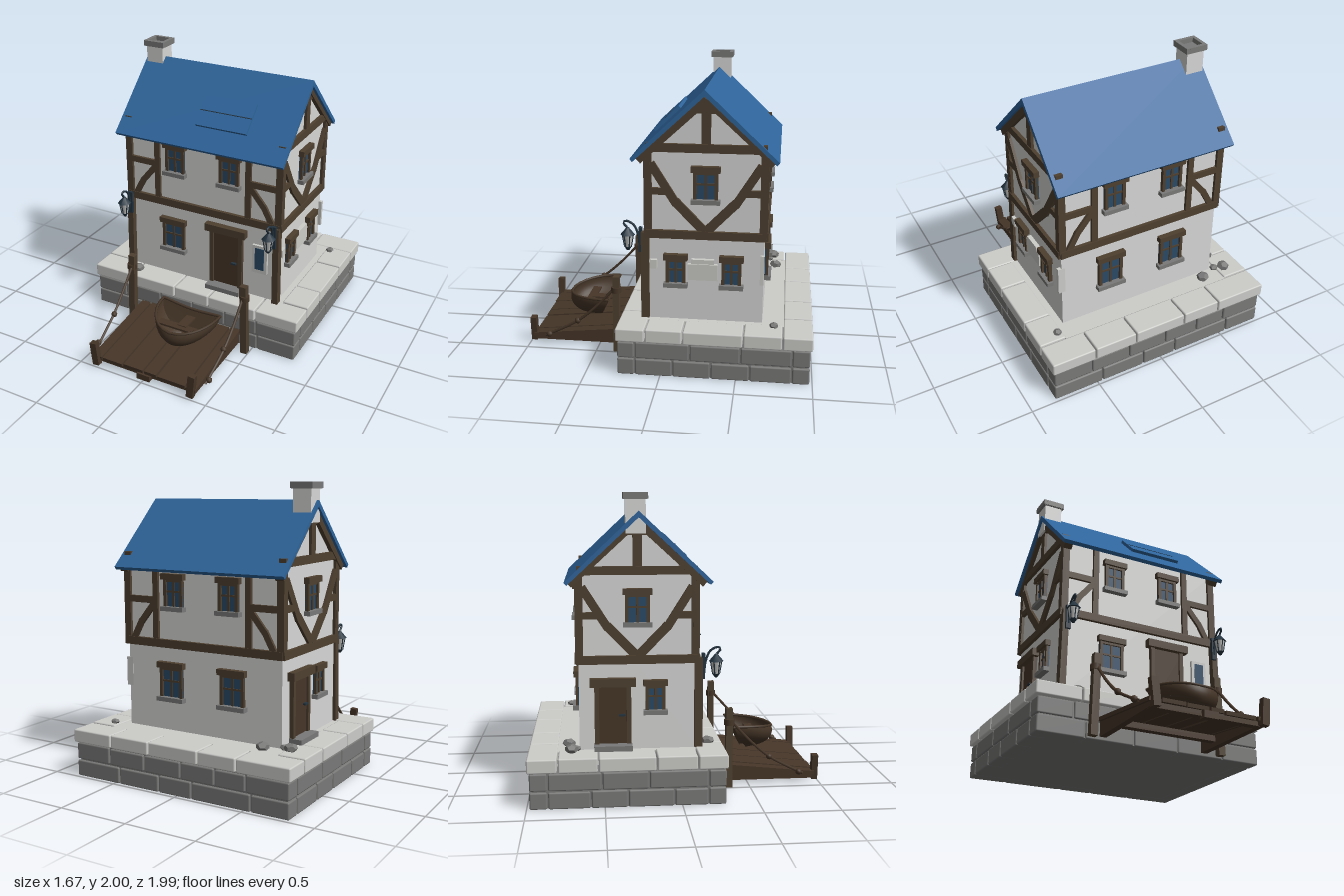
import * as THREE from 'three';
import { RoundedBoxGeometry } from 'three/addons/geometries/RoundedBoxGeometry.js';
import { ParametricGeometry } from 'three/addons/geometries/ParametricGeometry.js';

const mat = (name, color, side = THREE.FrontSide) => {
  const m = new THREE.MeshStandardMaterial({ color, side });
  m.name = name;
  return m;
};

export function createModel() {
  const model = new THREE.Group();
  model.name = 'house';
  const plaster = mat('plaster', 0xd8d8d7), slab = mat('paleStone', 0xcdcdca), stone = mat('greyStone', 0x7a7a79);
  const blue = mat('roofBlue', 0x2f659c), timber = mat('timber', 0x4e4030), plank = mat('darkWood', 0x463628, THREE.DoubleSide);
  const glass = mat('windowGlass', 0x2a4a66), iron = mat('iron', 0x243440);

  let seed = 7;
  const rand = () => (seed = (seed * 16807) % 2147483647) / 2147483647;

  const add = (parent, name, geo, material, x = 0, y = 0, z = 0) => {
    const m = new THREE.Mesh(geo, material);
    m.name = name;
    m.position.set(x, y, z);
    parent.add(m);
    return m;
  };
  const box = (parent, name, material, w, h, d, x, y, z) =>
    add(parent, name, new THREE.BoxGeometry(w, h, d), material, x, y, z);
  const group = (name, x = 0, y = 0, z = 0, ry = 0, parent = model) => {
    const g = new THREE.Group();
    g.name = name;
    g.position.set(x, y, z);
    g.rotation.y = ry;
    parent.add(g);
    return g;
  };
  // Straight timber between two points of a wall
  const beam = (wall, u1, y1, u2, y2, w, d = 0.04) => {
    const b = box(wall, 'timberBeam', timber, Math.hypot(u2 - u1, y2 - y1), w, d, (u1 + u2) / 2, (y1 + y2) / 2, 0);
    b.rotation.z = Math.atan2(y2 - y1, u2 - u1);
  };
  // Profile given as [z, y] pairs, extruded along x
  const extrudeX = (parent, name, pts, width, material, x = 0) => {
    const geo = new THREE.ExtrudeGeometry(new THREE.Shape(pts.map(p => new THREE.Vector2(...p))), { depth: width, bevelEnabled: false });
    geo.rotateY(-Math.PI / 2).translate(width / 2, 0, 0);
    return add(parent, name, geo, material, x);
  };
  const tube = (parent, name, pts, r, material) => add(parent, name,
    new THREE.TubeGeometry(new THREE.CatmullRomCurve3(pts.map(p => new THREE.Vector3(...p))), 16, r, 6), material);

  // Stone base: courses of blocks around a core
  const base = group('stoneBase');
  const block = (material, x0, x1, y0, y1, z0, z1) => add(base, 'stoneBlock',
    new RoundedBoxGeometry(x1 - x0 - 0.008, y1 - y0, z1 - z0 - 0.008, 1, 0.01), material, (x0 + x1) / 2, (y0 + y1) / 2, (z0 + z1) / 2);
  const cuts = (a, b, n) => Array.from({ length: n + 1 }, (_, i) =>
    a + (b - a) * (i + (i > 0 && i < n ? (rand() - 0.5) * 0.35 : 0)) / n);
  const course = (material, y0, y1, hx, z0, z1, depth, nx, nz) => {
    for (const [a, b] of [[z0, z0 + depth], [z1 - depth, z1]]) {
      const c = cuts(-hx, hx, nx);
      for (let i = 0; i < nx; i++) block(material, c[i], c[i + 1], y0, y1 - rand() * 0.006, a, b);
    }
    for (const [a, b] of [[-hx, -hx + depth], [hx - depth, hx]]) {
      const c = cuts(z0 + depth, z1 - depth, nz);
      for (let i = 0; i < nz; i++) block(material, a, b, y0, y1 - rand() * 0.006, c[i], c[i + 1]);
    }
  };
  box(base, 'baseCore', stone, 1.61, 0.23, 1.24, 0, 0.118, -0.345);
  course(stone, 0, 0.115, 0.825, -0.985, 0.29, 0.12, 5, 4);
  course(stone, 0.12, 0.235, 0.825, -0.985, 0.29, 0.12, 6, 3);
  course(slab, 0.24, 0.335, 0.84, -1, 0.3, 0.2, 5, 3);
  box(base, 'baseFloor', slab, 1.3, 0.09, 0.92, 0, 0.28, -0.345);

  // Loose rocks
  [[-0.69, 0.36, -0.71, 0.045], [-0.63, 0.345, -0.68, 0.03], [-0.5, 0.345, -0.73, 0.045], [0.68, 0.345, -0.74, 0.03],
    [-0.51, 0.345, 0.2, 0.045]].forEach(([x, y, z, r], i) => {
    const rock = add(model, 'rock', new THREE.DodecahedronGeometry(r), stone, x, y, z);
    rock.scale.y = 0.7;
    rock.rotation.y = i;
  });

  // House body and roof
  extrudeX(model, 'houseWalls', [[0.11, 0.32], [0.11, 1.485], [-0.265, 1.842], [-0.66, 1.475], [-0.66, 0.32]], 1.2, plaster);
  extrudeX(model, 'roof', [[-0.265, 1.885], [-0.745, 1.432], [-0.728, 1.412], [-0.265, 1.843], [0.198, 1.412], [0.215, 1.432]], 1.3, blue);
  const hatch = box(model, 'roofHatch', blue, 0.39, 0.022, 0.235, 0.135, 1.64, 0.015);
  hatch.rotation.x = Math.atan2(0.453, 0.48);
  box(model, 'roofHatchJoint', iron, 0.39, 0.004, 0.006, 0.135, 1.648, 0.023).rotation.x = hatch.rotation.x;

  // Chimney with hollow cap
  const chimney = group('chimney', -0.57, 0, -0.285);
  box(chimney, 'chimneyStack', plaster, 0.13, 0.22, 0.13, 0, 1.85, 0);
  for (const s of [-1, 1]) {
    box(chimney, 'chimneyCapSide', stone, 0.025, 0.04, 0.16, s * 0.068, 1.98, 0);
    box(chimney, 'chimneyCapEnd', stone, 0.112, 0.04, 0.025, 0, 1.98, s * 0.068);
  }
  box(chimney, 'chimneyCapFloor', stone, 0.15, 0.01, 0.15, 0, 1.963, 0);

  // Window: u is its centre, y0 to y1 includes sill and lintel
  const addWindow = (wall, u, y0, y1, w) => {
    const g = group('window', u, 0, 0, 0, wall);
    const lo = y0 + 0.03, hi = y1 - 0.04, mid = (lo + hi) / 2, h = hi - lo, iw = w - 0.03;
    box(g, 'lintel', timber, w, 0.04, 0.08, 0, y1 - 0.02, 0);
    box(g, 'sill', stone, w, 0.03, 0.09, 0, y0 + 0.015, 0);
    box(g, 'pane', glass, iw, h, 0.008, 0, mid, 0.006);
    for (const s of [-1, 1]) box(g, 'jamb', timber, 0.022, h, 0.05, s * (iw / 2 - 0.011), mid, 0);
    box(g, 'topRail', timber, iw, 0.016, 0.045, 0, hi - 0.008, 0);
    box(g, 'mullion', timber, 0.016, h, 0.036, 0, mid, 0);
    box(g, 'glazingBar', timber, iw, 0.013, 0.034, 0, mid + 0.01, 0);
  };
  const addDoor = (wall, u, y0, y1, w) => {
    const g = group('door', u, 0, 0, 0, wall);
    box(g, 'doorLintel', timber, w + 0.06, 0.055, 0.1, 0, y1 + 0.028, 0);
    box(g, 'doorLeaf', plank, w, y1 - y0, 0.03, 0, (y0 + y1) / 2, 0);
    for (const s of [-1, 1]) box(g, 'doorJamb', timber, 0.03, y1 - y0, 0.06, s * (w / 2 - 0.015), (y0 + y1) / 2, 0);
    box(g, 'doorStep', stone, w + 0.01, 0.035, 0.14, 0, y0 - 0.01, 0.02);
    box(g, 'doorHandle', iron, 0.04, 0.012, 0.02, w * 0.25, y0 + 0.2, 0.025);
  };

  // Long walls, front and back
  const front = group('frontWall', 0, 0, 0.11), back = group('backWall', 0, 0, -0.66, Math.PI);
  for (const wall of [front, back]) {
    beam(wall, -0.61, 0.925, 0.61, 0.925, 0.055, 0.05);
    for (const s of [-1, 1]) {
      beam(wall, s * 0.596, 0.93, s * 0.596, 1.47, 0.05);
      beam(wall, s * 0.362, 0.93, s * 0.362, 1.47, 0.042);
      beam(wall, s * 0.36, 1.215, s * 0.6, 1.215, 0.045);
      beam(wall, s * 0.55, 0.94, s * 0.48, 1.07, 0.042);
      beam(wall, s * 0.485, 1.06, s * 0.37, 1.2, 0.042);
      addWindow(wall, s * 0.215, 1.15, 1.4, 0.18);
    }
  }
  addWindow(front, -0.235, 0.53, 0.8, 0.21);
  for (const s of [-1, 1]) addWindow(back, s * 0.24, 0.53, 0.8, 0.21);
  addDoor(front, 0.2, 0.36, 0.79, 0.26);
  // Small framed pane beside the door
  box(front, 'smallPaneFrame', slab, 0.115, 0.22, 0.04, 0.465, 0.645, 0);
  box(front, 'smallPane', glass, 0.07, 0.17, 0.006, 0.465, 0.65, 0.021);
  for (const s of [-1, 1]) {
    const post = box(model, 'cornerPost', timber, 0.045, 0.6, 0.055, s * 0.596, 0.63, 0.125);
    post.rotation.z = s * 0.015;
  }

  // Gable walls, mirrored timbering
  const right = group('leftGable', 0.6, 0, -0.275, Math.PI / 2), left = group('rightGable', -0.6, 0, -0.275, -Math.PI / 2);
  for (const wall of [right, left]) {
    beam(wall, -0.4, 0.925, 0.4, 0.925, 0.055, 0.05);
    beam(wall, -0.39, 1.505, 0.39, 1.505, 0.055, 0.05);
    beam(wall, 0, 1.52, 0, 1.8, 0.06);
    beam(wall, -0.08, 1.745, 0.08, 1.745, 0.03);
    for (const s of [-1, 1]) {
      beam(wall, s * 0.378, 0.93, s * 0.378, 1.48, 0.05);
      beam(wall, s * 0.005, 0.95, s * 0.2, 1.15, 0.06);
      beam(wall, s * 0.19, 1.13, s * 0.36, 1.4, 0.055);
      beam(wall, s * 0.23, 1.215, s * 0.38, 1.215, 0.045);
      beam(wall, s * 0.44, 1.417, 0, 1.82, 0.048, 0.06);
    }
    addWindow(wall, 0, 1.14, 1.39, 0.19);
  }
  addWindow(right, -0.195, 0.56, 0.79, 0.16);
  addWindow(right, 0.175, 0.56, 0.79, 0.16);
  addWindow(left, 0.115, 0.56, 0.79, 0.16);
  addDoor(left, -0.165, 0.36, 0.75, 0.24);
  // Exposed stones on the gable
  box(right, 'wallStone', slab, 0.2, 0.11, 0.05, -0.015, 0.67, 0);
  box(right, 'wallStone', slab, 0.15, 0.03, 0.06, -0.015, 0.745, 0);
  box(right, 'wallStone', slab, 0.05, 0.06, 0.05, -0.345, 0.715, 0);
  box(right, 'wallStone', slab, 0.025, 0.2, 0.05, 0.375, 0.7, 0);

  // Hanging lanterns
  for (const s of [-1, 1]) {
    const g = group('lantern', s * 0.58, 0, 0.245);
    tube(g, 'lanternBracket', [[0, 0.82, -0.08], [0, 0.9, -0.07], [0, 0.97, -0.04], [0, 0.995, 0.01], [0, 0.985, 0.03], [0, 0.95, 0.005]], 0.008, iron);
    box(g, 'lanternWallPlate', iron, 0.035, 0.17, 0.02, 0, 0.87, -0.085);
    add(g, 'lanternCap', new THREE.CylinderGeometry(0.008, 0.05, 0.05, 6), iron, 0, 0.925, 0);
    add(g, 'lanternGlass', new THREE.CylinderGeometry(0.036, 0.022, 0.085, 6), slab, 0, 0.858, 0);
    add(g, 'lanternFoot', new THREE.CylinderGeometry(0.026, 0.01, 0.025, 6), iron, 0, 0.805, 0);
    for (let i = 0; i < 6; i++) {
      const a = i * Math.PI / 3;
      tube(g, 'lanternRib', [[0.038 * Math.sin(a), 0.9, 0.038 * Math.cos(a)], [0.023 * Math.sin(a), 0.815, 0.023 * Math.cos(a)]], 0.004, iron);
    }
  }

  // Sloping landing stage
  const dock = group('dock');
  const edges = [-0.42, -0.335, -0.165, 0, 0.105, 0.33, 0.415];
  for (let i = 0; i < 6; i++) {
    const p = box(dock, 'dockPlank', plank, edges[i + 1] - edges[i] - 0.012, 0.025, 0.67 - rand() * 0.02,
      (edges[i] + edges[i + 1]) / 2, 0.09 + rand() * 0.008, 0.64);
    p.rotation.x = 0.105;
  }
  box(dock, 'dockCrossBeam', plank, 0.78, 0.035, 0.05, 0, 0.035, 0.92);
  box(dock, 'dockCrossBeam', plank, 0.78, 0.04, 0.05, 0, 0.07, 0.45);
  box(dock, 'dockFoot', plank, 0.1, 0.045, 0.05, 0, 0.025, 0.95);
  for (const s of [-1, 1]) {
    extrudeX(dock, 'dockSideBeam', [[0.98, 0.02], [0.98, 0.06], [0.3, 0.135], [0.3, 0.02]], 0.045, plank, s * 0.375);
    box(dock, 'dockEndPost', plank, 0.05, 0.175, 0.042, s * 0.382, 0.1, 0.976).rotation.z = -s * 0.1;
    box(dock, 'dockTallPost', timber, 0.05, 0.55, 0.045, s * 0.463, 0.275, 0.355).rotation.z = s * 0.03;
    tube(dock, 'rope', [[s * 0.455, 0.46, 0.37], [s * 0.455, 0.32, 0.5], [s * 0.45, 0.2, 0.64], [s * 0.44, 0.1, 0.82], [s * 0.435, 0.07, 0.88]], 0.01, plank);
    for (const [y, z] of [[0.2, 0.64], [0.085, 0.85]]) add(dock, 'ropeKnot', new THREE.SphereGeometry(0.022, 8, 6), plank, s * 0.447, y, z);
    add(dock, 'ropeLashing', new THREE.CylinderGeometry(0.036, 0.036, 0.04, 8), plank, s * 0.463, 0.455, 0.355);
  }

  // Small rounded boat with flat stern
  const boat = group('boat', 0.09);
  const hullPoint = (a, s, across, target) => {
    const f = Math.sqrt(1 - 0.98 * s * s), c = Math.cos(a);
    target.set(0.23 * across * f, 0.29 + 0.02 * c * c + 0.02 * Math.max(0, -across) - 0.175 * s,
      0.445 + 0.08 * s + 0.315 * Math.sin(a) * f);
    return target;
  };
  add(boat, 'boatHull', new ParametricGeometry((u, v, t) => hullPoint(u * Math.PI, v, Math.cos(u * Math.PI), t), 24, 10), plank);
  add(boat, 'boatStern', new ParametricGeometry((u, v, t) => hullPoint(0, v, 1 - 2 * u, t), 8, 10), plank);
  const rim = Array.from({ length: 13 }, (_, i) =>
    hullPoint(i * Math.PI / 12, 0, Math.cos(i * Math.PI / 12), new THREE.Vector3()).toArray());
  tube(boat, 'boatRim', rim, 0.01, plank);
  tube(boat, 'boatSternRim', [rim[0], [0, 0.305, 0.45], rim[12]], 0.01, plank);
  box(boat, 'boatSeat', plank, 0.34, 0.014, 0.06, 0, 0.245, 0.61);
  box(boat, 'boatRib', plank, 0.07, 0.014, 0.15, 0.01, 0.25, 0.53);

  return model;
}
